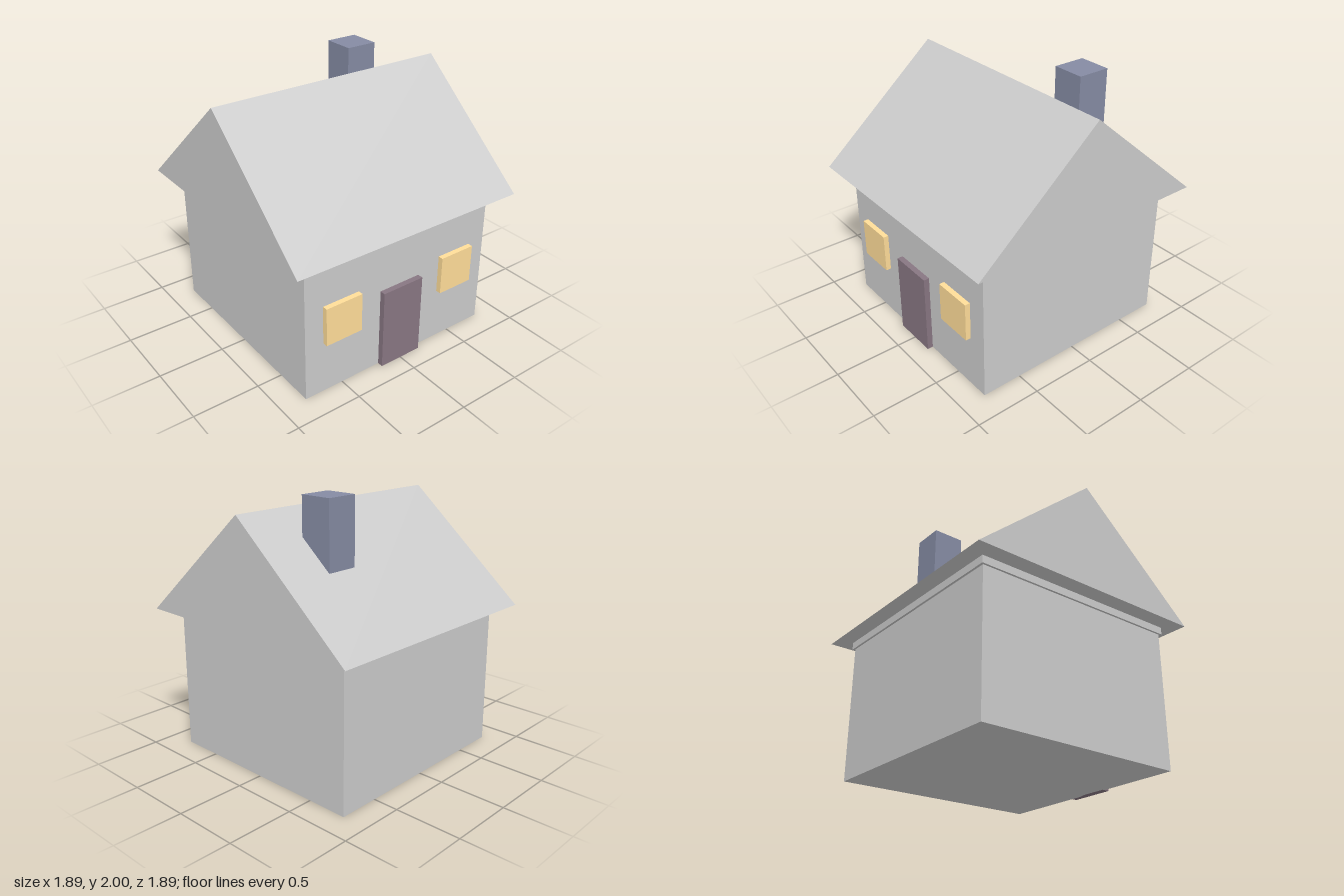
import * as THREE from 'three';

const material = (color) => new THREE.MeshStandardMaterial({ color });

export function createModel() {
  const house = new THREE.Group();
  house.name = 'house';
  const grey = material(0xcccccc);
  const slate = material(0x858ba3);
  const plum = material(0x887682);
  const amber = material(0xffdd99);

  // Box given by its centre in x and z, its bottom, and its size
  const addBox = (name, mat, [x, bottom, z], [w, h, d]) => {
    const mesh = new THREE.Mesh(new THREE.BoxGeometry(w, h, d), mat);
    mesh.name = name;
    mesh.position.set(x, bottom + h / 2, z);
    house.add(mesh);
  };

  // Walls and the trim band under the eaves
  addBox('walls', grey, [0, 0, 0], [1.614, 1.03, 1.614]);
  addBox('eavesTrim', grey, [0, 1.03, 0], [1.646, 0.055, 1.646]);

  // Gable roof: a triangle extruded along x, ridge running left to right
  const halfDepth = 0.943, length = 1.89;
  const gable = new THREE.Shape([
    new THREE.Vector2(-halfDepth, 1.085),
    new THREE.Vector2(halfDepth, 1.085),
    new THREE.Vector2(0, 1.893),
  ]);
  const roofGeometry = new THREE.ExtrudeGeometry(gable, { depth: length, bevelEnabled: false });
  roofGeometry.translate(0, 0, -length / 2).rotateY(Math.PI / 2);
  const roof = new THREE.Mesh(roofGeometry, grey);
  roof.name = 'roof';
  house.add(roof);

  // Chimney rising through the back slope
  addBox('chimney', slate, [0.43, 1.4, -0.322], [0.244, 0.6, 0.244]);

  // Door and the two windows beside it
  addBox('door', plum, [0, 0, 0.82], [0.346, 0.623, 0.06]);
  for (const [name, side] of [['leftWindow', 1], ['rightWindow', -1]]) {
    addBox(name, amber, [side * 0.512, 0.407, 0.82], [0.296, 0.296, 0.053]);
  }

  return house;
}
